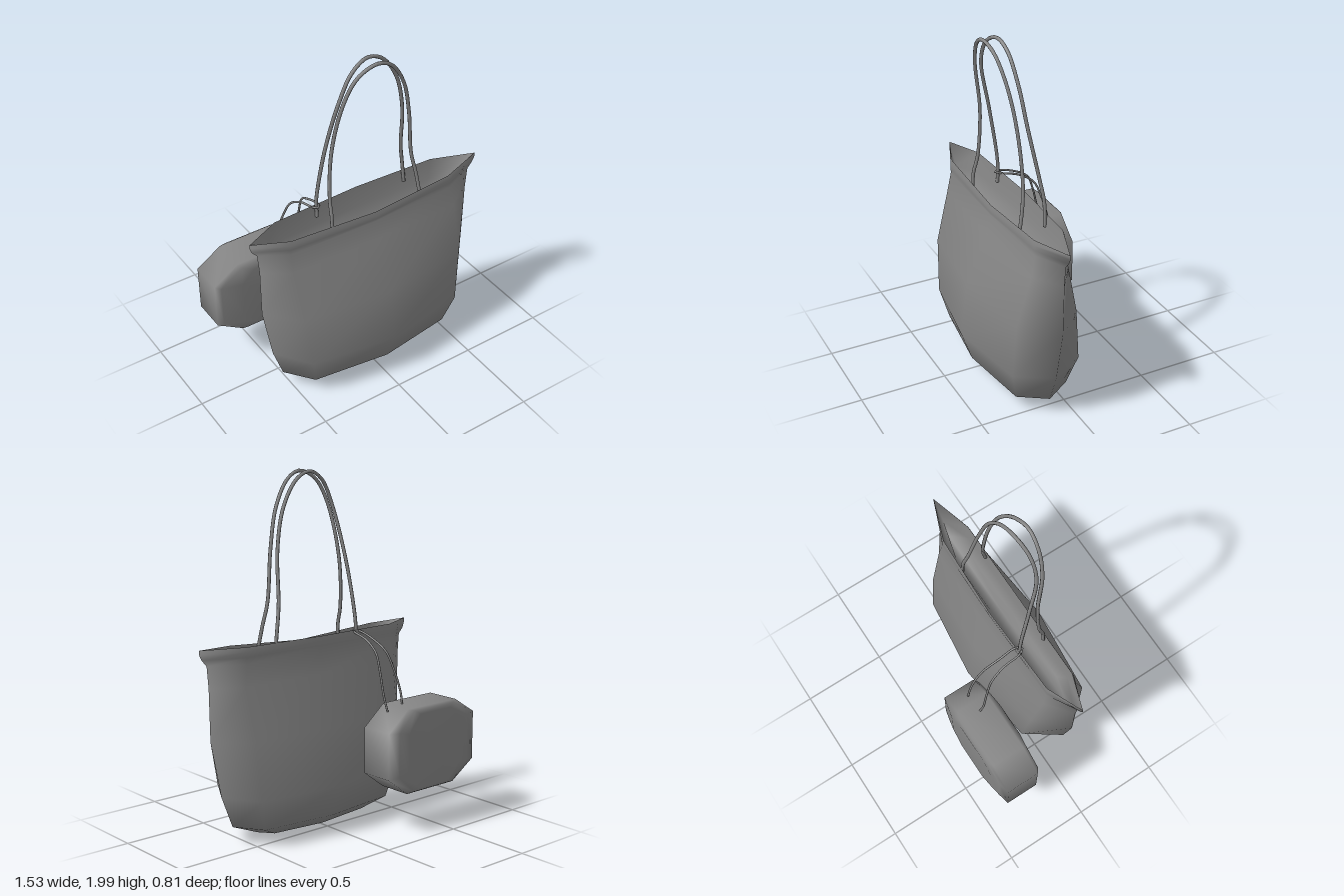
import * as THREE from 'three';

const material = new THREE.MeshStandardMaterial({ color: 0x848484 });
const V = (p) => new THREE.Vector3(...p);

// Skin a list of equal-length rings; either end can be closed with a fan.
function loft(name, rings, closeFirst, closeLast) {
  const n = rings[0].length;
  const pos = rings.flat(2);
  const index = [];
  for (let r = 0; r < rings.length - 1; r++) {
    for (let j = 0; j < n; j++) {
      const a = r * n + j, b = r * n + (j + 1) % n;
      index.push(a, b, b + n, a, b + n, a + n);
    }
  }
  const cap = (r, flip) => {
    const c = pos.length / 3;
    for (let k = 0; k < 3; k++) pos.push(rings[r].reduce((s, p) => s + p[k], 0) / n);
    for (let j = 0; j < n; j++) {
      const a = r * n + j, b = r * n + (j + 1) % n;
      if (flip) index.push(c, b, a); else index.push(c, a, b);
    }
  };
  if (closeFirst) cap(0, true);
  if (closeLast) cap(rings.length - 1, false);
  const g = new THREE.BufferGeometry();
  g.setAttribute('position', new THREE.Float32BufferAttribute(pos, 3));
  g.setIndex(index);
  g.computeVertexNormals();
  const mesh = new THREE.Mesh(g, material);
  mesh.name = name;
  return mesh;
}

// Horizontal ring of the bag: pointed ends, shoulders and the middle of each
// side. dip lowers the front edge toward the middle.
function bagRing([y, xL, xR, sL, sR, sBack, sFront, cBack, cFront, dip]) {
  return [
    [xR, y, 0.125],
    [sR, y, sBack], [0.03, y, cBack], [sL, y, sBack],
    [xL, y, 0.125],
    [sL, y - dip * 0.35, sFront], [0.03, y - dip, cFront], [sR, y - dip * 0.35, sFront],
  ];
}

function cord(name, points, radius, segments) {
  const curve = new THREE.CatmullRomCurve3(points.map(V));
  const mesh = new THREE.Mesh(new THREE.TubeGeometry(curve, segments, radius, 8), material);
  mesh.name = name;
  return mesh;
}

export function createModel() {
  const group = new THREE.Group();
  group.name = 'handbag';

  // Bag outside, from the shallow point underneath up to the flared rim
  const rim = [1.1, -0.705, 0.765, -0.50, 0.52, 0.035, 0.198, 0.015, 0.206, 0.05];
  const outside = [
    [0.006, 0.02, 0.04, 0.025, 0.035, 0.12, 0.13, 0.115, 0.135, 0],
    [0.03, -0.37, 0.40, -0.3, 0.34, 0.05, 0.21, 0.01, 0.25, 0],
    [0.10, -0.54, 0.57, -0.42, 0.47, -0.03, 0.28, -0.08, 0.34, 0],
    [0.28, -0.60, 0.64, -0.46, 0.52, -0.075, 0.325, -0.135, 0.402, 0],
    [0.60, -0.655, 0.705, -0.49, 0.54, -0.045, 0.31, -0.075, 0.36, 0],
    [0.89, -0.655, 0.71, -0.51, 0.55, 0.015, 0.23, 0.0, 0.24, 0],
    [1.01, -0.665, 0.72, -0.51, 0.53, 0.03, 0.205, 0.02, 0.21, 0.02],
    [1.045, -0.695, 0.75, -0.51, 0.53, 0.03, 0.205, 0.015, 0.212, 0.04],
    [1.075, -0.705, 0.765, -0.51, 0.53, 0.03, 0.205, 0.013, 0.212, 0.05],
    rim,
  ];
  group.add(loft('bagBody', outside.map(bagRing), true, false));

  // Lining, from the thin rim edge down to a rounded floor
  const lining = [
    rim,
    [0.98, -0.62, 0.67, -0.48, 0.50, 0.05, 0.188, 0.035, 0.195, 0.02],
    [0.87, -0.57, 0.62, -0.42, 0.46, 0.08, 0.165, 0.075, 0.17, 0],
  ];
  group.add(loft('bagLining', lining.map(bagRing), false, true));

  // Two long looped handles
  const handleX = [
    [-0.24, 1.03], [-0.24, 1.12], [-0.235, 1.22], [-0.215, 1.5], [-0.17, 1.8], [-0.1, 1.935],
    [0, 1.984], [0.1, 1.945], [0.2, 1.8], [0.26, 1.58], [0.295, 1.3], [0.32, 1.17], [0.335, 1.03],
  ];
  const handles = {
    frontHandle: [0.19, 0.185, 0.16, 0.15, 0.195, 0.215, 0.225, 0.212, 0.19, 0.165, 0.15, 0.165, 0.19],
    backHandle: [0.04, 0.035, 0.045, 0.095, 0.16, 0.162, 0.147, 0.138, 0.128, 0.105, 0.055, 0.038, 0.04],
  };
  for (const [name, zs] of Object.entries(handles)) {
    group.add(cord(name, handleX.map(([x, y], i) => [x, y, zs[i]]), 0.01, 72));
  }

  // Thin cord looped round the back handle, carrying the pouch
  const drop = [
    [0.02, 1.09], [-0.08, 1.06], [-0.17, 1.0], [-0.215, 0.9], [-0.25, 0.78], [-0.275, 0.69],
  ];
  const leftX = [-0.26, -0.264, -0.28, -0.3, -0.318, -0.31];
  const rightX = [-0.217, -0.215, -0.205, -0.195, -0.19, -0.197];
  const strand = (xs) => drop.map(([z, y], i) => [xs[i], y, z]);
  group.add(cord('pouchCord',
    [...strand(leftX).reverse(), [-0.24, 1.095, 0.052], ...strand(rightX)], 0.006, 80));

  // Pouch: an eight-sided outline, drawn in further at its ends than at its
  // top and bottom: z, width scale, height scale
  const outline = [
    [-0.11, 0.34], [-0.11, 0.60], [-0.25, 0.715], [-0.62, 0.715],
    [-0.77, 0.62], [-0.77, 0.34], [-0.61, 0.235], [-0.25, 0.235],
  ];
  const pouchRing = ([z, sx, sy]) =>
    outline.map(([x, y]) => [-0.44 + (x + 0.44) * sx, 0.475 + (y - 0.475) * sy, z]);
  const slices = [
    [-0.408, 0.62, 0.87], [-0.396, 0.8, 0.96], [-0.38, 1, 1],
    [-0.185, 1, 1], [-0.163, 0.91, 0.92], [-0.15, 0.52, 0.8],
  ];
  group.add(loft('pouch', slices.map(pouchRing), true, true));

  return group;
}
